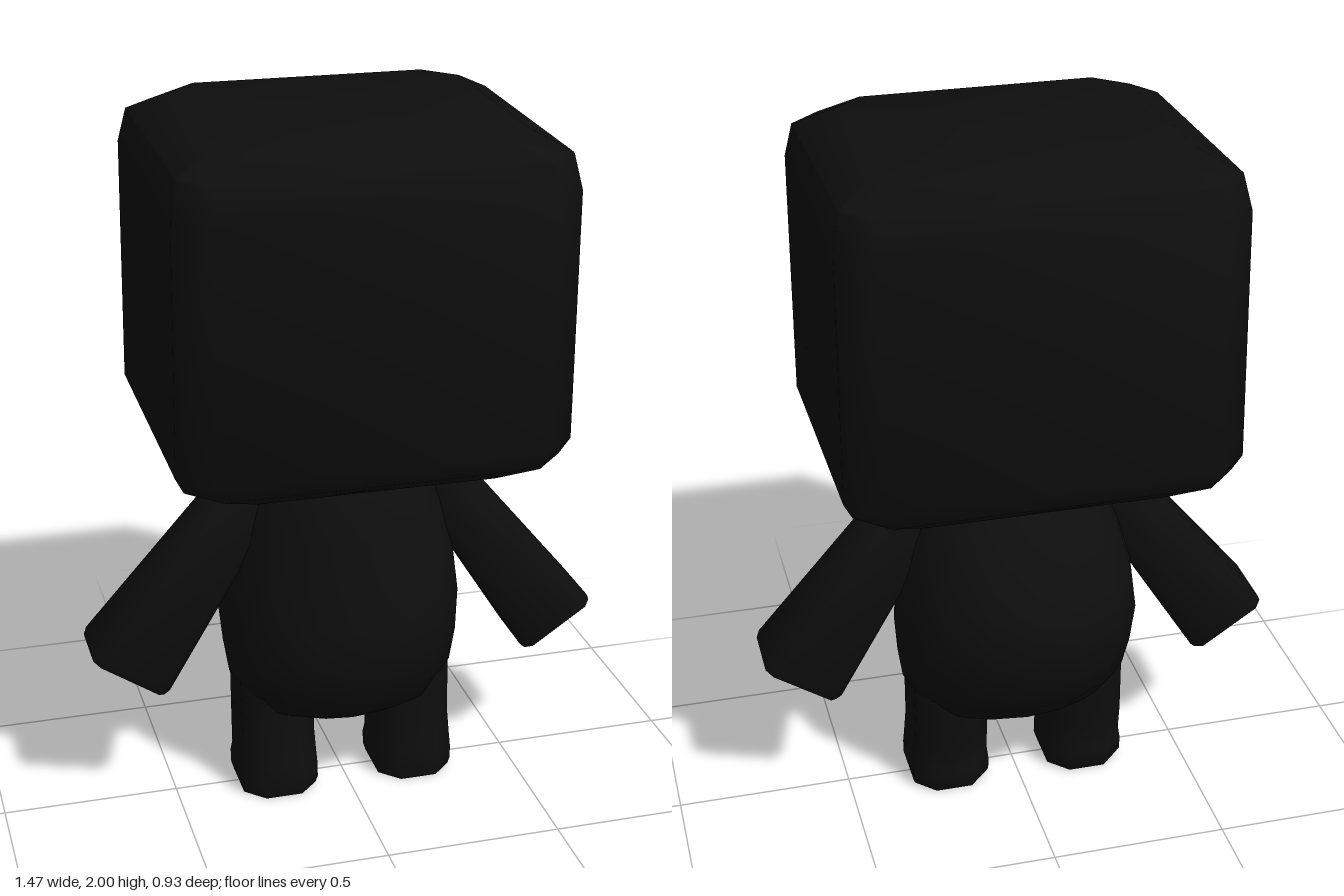
import * as THREE from 'three';
import { toCreasedNormals } from 'three/addons/utils/BufferGeometryUtils.js';

const V = (x, y, z) => new THREE.Vector3(x, y, z);

// Skin equal-length rings of points into a closed solid with capped ends.
function loft(rings) {
  const n = rings[0].length, pos = [], idx = [];
  const centre = ring => ring.reduce((a, p) => a.add(p), V(0, 0, 0)).divideScalar(n);
  rings.forEach(r => r.forEach(p => pos.push(p.x, p.y, p.z)));
  const first = rings.length * n, last = first + 1, top = (rings.length - 1) * n;
  for (const c of [centre(rings[0]), centre(rings[rings.length - 1])]) pos.push(c.x, c.y, c.z);
  for (let j = 0; j < n; j++) {
    const k = (j + 1) % n;
    for (let i = 0; i < rings.length - 1; i++) {
      const a = i * n + j, b = i * n + k;
      idx.push(a, b, b + n, a, b + n, a + n);
    }
    idx.push(first, k, j, last, top + j, top + k);
  }
  const g = new THREE.BufferGeometry();
  g.setAttribute('position', new THREE.Float32BufferAttribute(pos, 3));
  g.setIndex(idx);
  return toCreasedNormals(g, 0.95);
}

// Chamfered rectangle, centred on c, spanned by u and -z.
function octagon(c, u, w, d, cut) {
  return [[w, -d + cut], [w, d - cut], [w - cut, d], [cut - w, d],
    [-w, d - cut], [-w, cut - d], [cut - w, -d], [w - cut, -d]]
    .map(([a, b]) => c.clone().addScaledVector(u, a).add(V(0, 0, -b)));
}

// Horizontal ellipse given by its half width and its front and back z.
function ellipse([y, w, front, back]) {
  return Array.from({ length: 16 }, (_, i) => {
    const a = i / 16 * Math.PI * 2;
    return V(w * Math.cos(a), y, (front + back) / 2 - (front - back) / 2 * Math.sin(a));
  });
}

export function createModel() {
  const model = new THREE.Group();
  model.name = 'blockHeadFigure';
  const black = new THREE.MeshStandardMaterial({ color: 0x0e0e0e });
  black.name = 'black';
  const X = V(1, 0, 0);
  const add = (name, rings) => {
    const mesh = new THREE.Mesh(loft(rings), black);
    mesh.name = name;
    model.add(mesh);
    return mesh;
  };

  // Chamfered head, tipped slightly forward: y, half width, half depth
  const head = add('head', [
    [-0.465, 0.41, 0.385], [-0.425, 0.515, 0.44], [-0.375, 0.54, 0.457],
    [0.315, 0.535, 0.457], [0.41, 0.515, 0.435], [0.465, 0.41, 0.36],
  ].map(([y, w, d]) => octagon(V(0, y, 0), X, w, d, 0.085)));
  head.position.set(0, 1.525, 0.003);
  head.rotation.x = 0.03;

  // Pear-shaped body: y, half width, front z, back z
  add('body', [
    [0.225, 0.1, 0.09, -0.1], [0.235, 0.2, 0.13, -0.14], [0.27, 0.285, 0.18, -0.19],
    [0.36, 0.33, 0.24, -0.275], [0.46, 0.345, 0.273, -0.325], [0.58, 0.355, 0.265, -0.345],
    [0.7, 0.34, 0.25, -0.33], [0.83, 0.305, 0.23, -0.275], [0.95, 0.26, 0.21, -0.205],
    [1.03, 0.21, 0.175, -0.13], [1.065, 0.17, 0.11, -0.09],
  ].map(ellipse));

  for (const [side, s] of [['left', 1], ['right', -1]]) {
    // Arm widening toward a flat cuff: x, y, half width, half depth, z
    const across = V(-0.83, -0.56 * s, 0);
    if (s < 0) across.y = 0.56;
    add(side + 'Arm', [
      [0.22, 0.99, 0.04, 0.05, 0.005], [0.28, 0.92, 0.085, 0.07, 0.005],
      [0.625, 0.445, 0.122, 0.114, -0.006], [0.637, 0.428, 0.118, 0.108, -0.006],
    ].map(([x, y, w, d, z]) => octagon(V(s * x, y, z), across, w, d, 0.022)));

    // Leg with a small heel bump: y, half width, half depth, z
    add(side + 'Leg', [
      [0.003, 0.108, 0.122, 0.002], [0.02, 0.114, 0.128, -0.002], [0.06, 0.114, 0.13, -0.005],
      [0.095, 0.111, 0.123, 0], [0.18, 0.107, 0.128, -0.018], [0.38, 0.108, 0.125, -0.02],
    ].map(([y, w, d, z]) => octagon(V(s * 0.204, y === 0.003 ? 0 : y, z), X, w, d, 0.055)));
  }
  return model;
}
